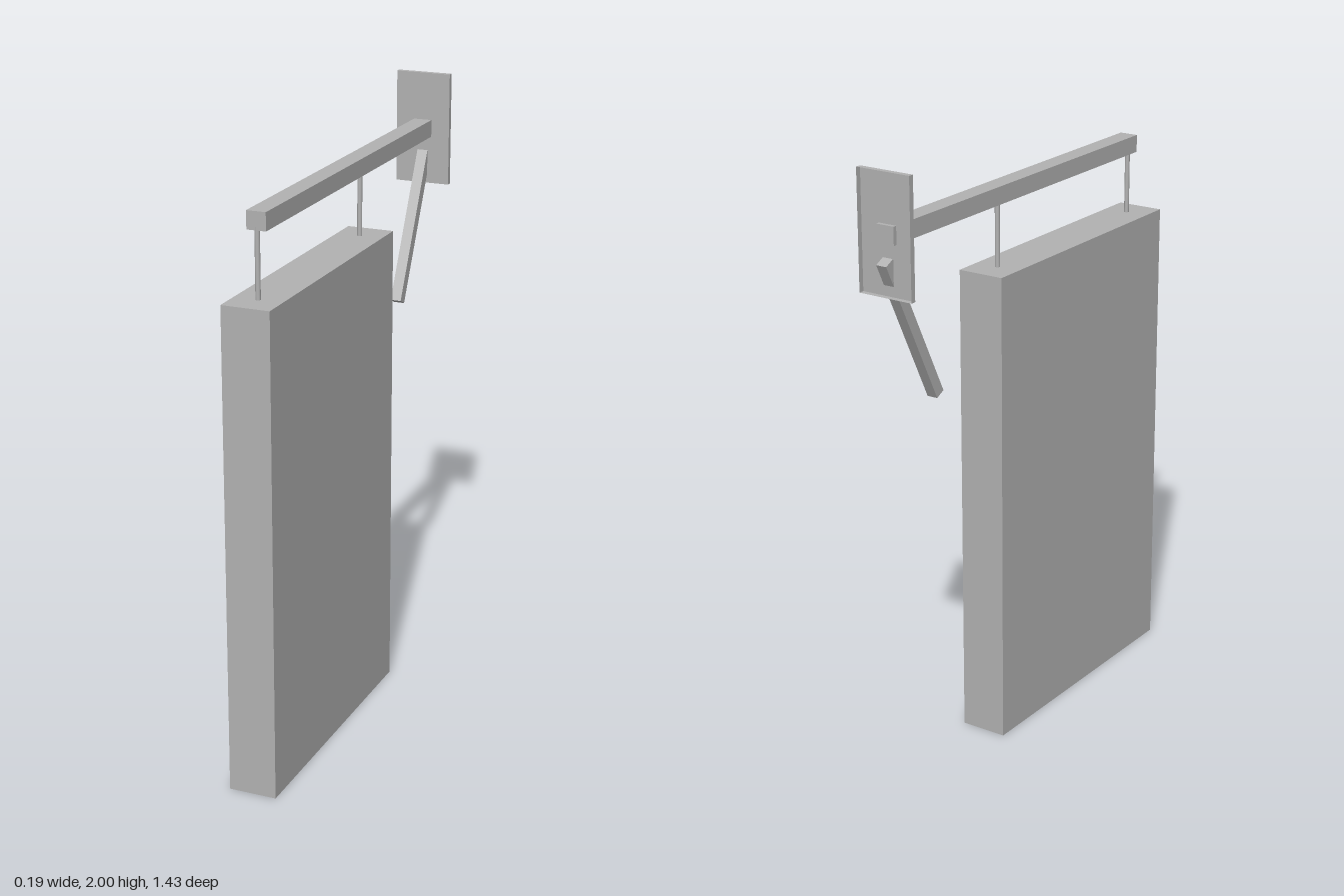
import * as THREE from 'three';

export function createModel() {
  const model = new THREE.Group();
  model.name = 'hangingSign';
  const grey = new THREE.MeshStandardMaterial({ color: 0xb2b2b2, side: THREE.DoubleSide });
  grey.name = 'grey';

  const add = (name, geometry, x, y, z) => {
    const mesh = new THREE.Mesh(geometry, grey);
    mesh.name = name;
    mesh.position.set(x, y, z);
    model.add(mesh);
    return mesh;
  };

  // Hanging sign board
  add('signBoard', new THREE.BoxGeometry(0.156, 1.576, 0.942), 0, 0.788, 0.246);

  // Horizontal beam, its end set into the wall plate
  add('beam', new THREE.BoxGeometry(0.062, 0.057, 1.331), 0, 1.813, -0.0305);

  // Two rods that hang the board from the beam
  for (const z of [0.628, -0.133]) {
    add('hangerRod', new THREE.CylinderGeometry(0.008, 0.008, 0.23, 12), 0, 1.68, z);
  }

  // Wall plate: a shallow tray, open at the back (last box face dropped)
  const tray = new THREE.BoxGeometry(0.188, 0.375, 0.018);
  tray.setIndex(Array.from(tray.index.array).slice(0, 30));
  tray.clearGroups();
  add('wallPlate', tray, 0, 1.8125, -0.692);

  // Slanted brace through the plate
  const top = new THREE.Vector3(0, 1.733, -0.701);
  const foot = new THREE.Vector3(0, 1.262, -0.465);
  const dir = top.clone().sub(foot);
  const mid = top.clone().add(foot).multiplyScalar(0.5);
  const brace = add('brace', new THREE.BoxGeometry(0.036, dir.length(), 0.036), mid.x, mid.y, mid.z);
  brace.rotation.x = Math.atan2(dir.z, dir.y);

  return model;
}
